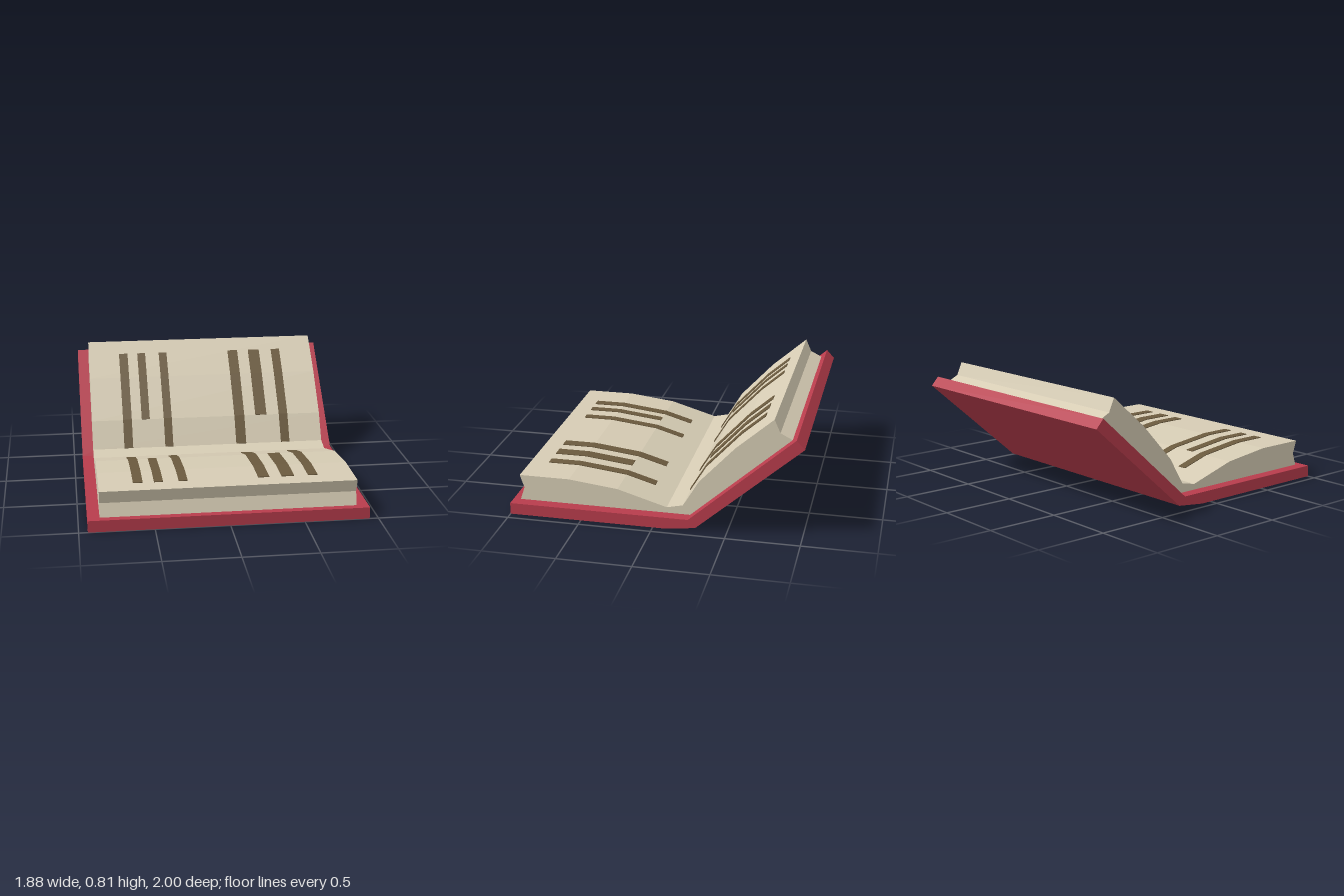
import * as THREE from 'three';

// Extrudes a [z, y] profile across the width from x0 to x1
function extrudeAcross(name, profile, x0, x1, material) {
  const shape = new THREE.Shape(profile.map(([z, y]) => new THREE.Vector2(z, y)));
  const geometry = new THREE.ExtrudeGeometry(shape, { depth: x1 - x0, bevelEnabled: false });
  geometry.rotateY(-Math.PI / 2);
  geometry.translate(x1, 0, 0);
  const mesh = new THREE.Mesh(geometry, material);
  mesh.name = name;
  return mesh;
}

export function createModel() {
  const book = new THREE.Group();
  book.name = 'openBook';
  const red = new THREE.MeshStandardMaterial({ color: 0xb83c4c, flatShading: true });
  const cream = new THREE.MeshStandardMaterial({ color: 0xd6ccb4, flatShading: true });
  const brown = new THREE.MeshStandardMaterial({ color: 0x6b5a3e, flatShading: true });

  // Bent cover with a sloping back half
  book.add(extrudeAcross('cover', [
    [1, 0], [1, 0.08], [-0.24, 0.08], [-0.945, 0.71], [-1, 0.65], [-0.29, 0.025], [-0.08, 0],
  ], -0.94, 0.94, red));

  // Page block with notched outer edges and a valley at the fold
  book.add(extrudeAcross('pages', [
    [0.95, 0.08], [0.92, 0.17], [0.95, 0.26], [0.6, 0.26], [0.26, 0.22], [-0.08, 0.12],
    [-0.19, 0.145], [-0.3, 0.33], [-0.54, 0.59], [-0.79, 0.81], [-0.83, 0.72],
    [-0.915, 0.677], [-0.24, 0.08],
  ], -0.86, 0.86, cream));

  // Text lines: thin ribbons that follow each page, the middle ones shorter
  const frontPath = [[0.82, 0.26], [0.6, 0.26], [0.26, 0.22], [0.055, 0.16]];
  const backPath = [[-0.7, 0.731], [-0.54, 0.59], [-0.3, 0.33], [-0.19, 0.145]];
  const columns = [
    [-0.63, -0.565], [-0.49, -0.43, true], [-0.325, -0.265],
    [0.21, 0.285], [0.37, 0.455, true], [0.55, 0.615],
  ];
  const lines = new THREE.Group();
  lines.name = 'textLines';
  for (const [name, path, dz, dy] of [
    ['frontTextLine', frontPath, 0, 0.005], ['backTextLine', backPath, 0.004, 0.004],
  ]) {
    for (const [x0, x1, short] of columns) {
      const base = short ? path.slice(0, 3) : path;
      const raised = base.map(([z, y]) => [z + dz, y + dy]).reverse();
      lines.add(extrudeAcross(name, [...base, ...raised], x0, x1, brown));
    }
  }
  book.add(lines);
  return book;
}
